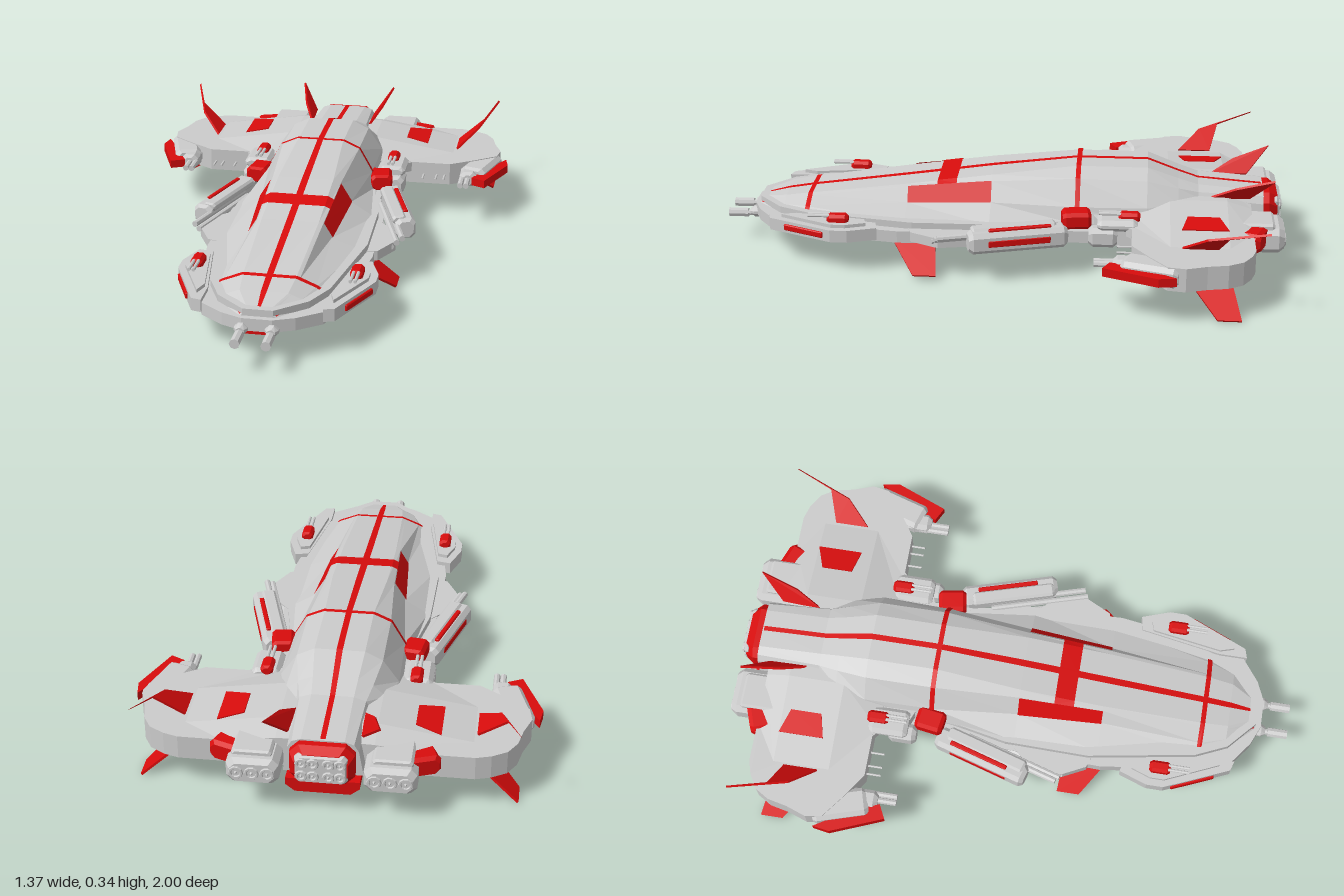
import * as THREE from 'three';
import { ConvexGeometry } from 'three/addons/geometries/ConvexGeometry.js';

const grey = new THREE.MeshStandardMaterial({ color: 0xcccccc, flatShading: true });
const red = new THREE.MeshStandardMaterial({ color: 0xd80c0c, flatShading: true, side: THREE.DoubleSide });

// Upper hull cross-sections, nose to tail: z, then half outline from ridge to base
const HULL = [
  [0.88, [0, .165], [.03, .165], [.04, .16], [.055, .15], [.07, .14]],
  [0.78, [0, .19], [.08, .19], [.09, .186], [.125, .172], [.15, .15]],
  [0.69, [0, .205], [.088, .205], [.1, .2], [.155, .178], [.19, .155]],
  [0.33, [0, .255], [.1, .255], [.115, .25], [.145, .2], [.245, .165]],
  [0.03, [0, .298], [.1, .298], [.125, .282], [.165, .217], [.25, .165]],
  [-.27, [0, .335], [.085, .335], [.145, .308], [.195, .22], [.215, .165]],
  [-.52, [0, .335], [.085, .335], [.145, .305], [.2, .225], [.215, .165]],
  [-.63, [0, .295], [.075, .295], [.125, .275], [.17, .235], [.2, .165]],
  [-.7, [0, .272], [.07, .272], [.11, .258], [.12, .24], [.14, .15]],
  [-.93, [0, .255], [.07, .255], [.1, .245], [.115, .22], [.13, .13]],
];

function fromTriangles(tris) {
  const g = new THREE.BufferGeometry();
  g.setAttribute('position', new THREE.Float32BufferAttribute(tris.flat(2), 3));
  g.computeVertexNormals();
  return g;
}

// Skin mirrored half sections into one closed body
function loft(sections) {
  const rings = sections.map(([z, ...half]) => [
    ...half.map(([x, y]) => [x, y, z]),
    ...half.slice(1).reverse().map(([x, y]) => [-x, y, z]),
  ]);
  const n = rings[0].length, tris = [];
  for (let i = 0; i + 1 < rings.length; i++) {
    for (let j = 0; j < n; j++) {
      const k = (j + 1) % n, a = rings[i], b = rings[i + 1];
      tris.push([a[j], a[k], b[k]], [a[j], b[k], b[j]]);
    }
  }
  const f = rings[0], e = rings.at(-1);
  for (let j = 1; j < n - 1; j++) tris.push([f[0], f[j + 1], f[j]], [e[0], e[j], e[j + 1]]);
  return fromTriangles(tris);
}

// Point just above the upper hull at station z, s steps round the half outline
function hullPoint(z, s) {
  const i = HULL.findIndex((h, k) => HULL[k + 1][0] <= z);
  const a = HULL[i], b = HULL[i + 1], t = (a[0] - z) / (a[0] - b[0]);
  const j = Math.min(3, Math.floor(s)), u = s - j, mix = THREE.MathUtils.lerp;
  const at = (c) => mix(mix(a[j + 1][c], a[j + 2][c], u), mix(b[j + 1][c], b[j + 2][c], u), t);
  return [at(0) * 1.025, 0.15 + (at(1) - 0.15) * 1.025, z];
}

// Painted panel following the upper hull
function hullPatch(z0, z1, s0, s1) {
  const zs = [z0, ...HULL.map((h) => h[0]).filter((z) => z < z0 && z > z1), z1];
  const ss = [s0, ...[1, 2, 3].filter((s) => s > s0 && s < s1), s1], tris = [];
  for (let i = 0; i + 1 < zs.length; i++) {
    for (let j = 0; j + 1 < ss.length; j++) {
      const a = hullPoint(zs[i], ss[j]), b = hullPoint(zs[i], ss[j + 1]);
      const c = hullPoint(zs[i + 1], ss[j + 1]), d = hullPoint(zs[i + 1], ss[j]);
      tris.push([a, b, c], [a, c, d]);
    }
  }
  return fromTriangles(tris);
}

// Horizontal plate from an [x, z] outline
function plate(pts, y0, y1) {
  const shape = new THREE.Shape(pts.map(([x, z]) => new THREE.Vector2(x, -z)));
  return new THREE.ExtrudeGeometry(shape, { depth: y1 - y0, bevelEnabled: false }).rotateX(-Math.PI / 2).translate(0, y0, 0);
}
const bothSides = (half) => [...half, ...half.map(([x, z]) => [-x, z]).reverse()];

// Thin fin through flat corner points
function fin(pts, t = 0.008) {
  const v = pts.map((p) => new THREE.Vector3(...p));
  const n = v[1].clone().sub(v[0]).cross(v[2].clone().sub(v[0])).normalize().multiplyScalar(t / 2);
  return new ConvexGeometry(v.flatMap((p) => [p.clone().add(n), p.clone().sub(n)]));
}

// Block with chamfered corners and ends, long in z
function block(w, h, d, x, y, z, turn = 0, c = 0.015) {
  const pts = [];
  for (const [e, k] of [[d / 2, c], [d / 2 - c, 0], [c - d / 2, 0], [-d / 2, c]]) {
    const a = w / 2 - k * 0.6, b = h / 2 - k * 0.6;
    for (const sx of [-1, 1]) for (const sy of [-1, 1]) {
      pts.push(new THREE.Vector3(sx * (a - c), sy * b, e), new THREE.Vector3(sx * a, sy * (b - c), e));
    }
  }
  return new ConvexGeometry(pts).rotateY(turn).translate(x, y, z);
}
const tube = (r, len, x, y, z, turn = 0) =>
  new THREE.CylinderGeometry(r, r, len, 8).rotateX(Math.PI / 2).rotateY(turn).translate(x, y, z);

// Mirror in x and restore the winding
function mirrored(geo) {
  const g = geo.index ? geo.toNonIndexed() : geo.clone();
  g.scale(-1, 1, 1);
  const p = g.attributes.position, a = new THREE.Vector3(), b = new THREE.Vector3();
  for (let i = 0; i < p.count; i += 3) {
    a.fromBufferAttribute(p, i + 1);
    b.fromBufferAttribute(p, i + 2);
    p.setXYZ(i + 1, b.x, b.y, b.z);
    p.setXYZ(i + 2, a.x, a.y, a.z);
  }
  g.computeVertexNormals();
  return g;
}

export function createModel() {
  const model = new THREE.Group();
  const add = (name, geo, mat = grey) => {
    const m = new THREE.Mesh(geo, mat);
    m.name = name;
    model.add(m);
  };
  const pair = (name, geo, mat) => {
    add(name + 'Left', geo, mat);
    add(name + 'Right', mirrored(geo), mat);
  };

  // Hull tiers, upper body and keel
  add('lowerHull', plate(bothSides([[.05, .9], [.12, .87], [.2, .81], [.24, .7], [.29, .35], [.28, 0], [.24, -.2], [.24, -.4]]), .105, .148));
  add('middleHull', plate(bothSides([[.05, .88], [.15, .79], [.2, .68], [.265, .3], [.26, 0], [.22, -.2], [.2, -.4]]), .148, .172));
  add('upperHull', loft(HULL));
  add('keel', loft([
    [.9, [0, .115], [.06, .115], [.06, .1], [.04, .095]],
    [.72, [0, .115], [.12, .115], [.12, .09], [.09, .066]],
    [-.95, [0, .115], [.12, .115], [.12, .09], [.09, .066]],
  ]), red);

  // Painted panels on the upper body
  pair('ridgeStripe', hullPatch(.87, -.925, 0, .12), red);
  pair('noseStripe', hullPatch(.875, .858, 0, 3), red);
  pair('frontBand', hullPatch(.697, .68, 0, 3.3), red);
  pair('rearBand', hullPatch(-.268, -.285, 0, 3), red);
  pair('canopyBand', hullPatch(.225, .155, 0, 2), red);
  pair('sideWindow', hullPatch(.33, .03, 2, 3), red);

  // Wing slab and sloping fairing
  add('wing', plate(bothSides([[.12, -.3], [.22, -.34], [.27, -.36], [.29, -.47], [.47, -.47], [.56, -.53], [.64, -.59], [.65, -.65],
    [.625, -.72], [.61, -.79], [.58, -.84], [.53, -.87], [.48, -.885], [.34, -.885]]), .115, .198));
  add('wingFairing', loft([
    [-.45, [0, .205], [.16, .205], [.3, .196], [.3, .16]],
    [-.6, [0, .245], [.16, .245], [.47, .198], [.47, .16]],
    [-.8, [0, .245], [.16, .245], [.47, .198], [.47, .16]],
    [-.885, [0, .225], [.16, .22], [.35, .196], [.35, .16]],
  ]));
  const wingY = (x) => .249 - (x - .16) * .1516;
  pair('wingPanel', fin([[.28, -.77], [.365, -.8], [.365, -.64], [.28, -.66]].map(([x, z]) => [x, wingY(x), z]), .004), red);
  pair('wingRootBlock', block(.17, .07, .1, .28, .17, -.885, -.35), red);

  // Fins
  const bend = [.555, .262, -.72], heel = [.575, .278, -.79];
  pair('upperFinBase', fin([[.48, .2, -.64], bend, heel, [.48, .2, -.76]]), red);
  pair('upperFinTip', fin([bend, [.62, .315, -.92], heel]), red);
  pair('innerFin', fin([[.115, .24, -.74], [.155, .29, -.83], [.185, .333, -.96], [.165, .305, -.93], [.12, .245, -.88]]), red);
  pair('lowerRearFin', fin([[.48, .115, -.64], [.62, .002, -.76], [.62, .002, -.84], [.48, .115, -.8]]), red);
  pair('lowerFrontFin', fin([[.245, .115, .38], [.365, .014, .287], [.365, .014, .206], [.245, .115, .22]]), red);
  pair('wingTipFin', fin([[.56, .16, -.4], [.61, .16, -.375], [.685, .16, -.56], [.675, .16, -.62], [.6, .16, -.5]], .03), red);

  // Wing tip guns
  pair('gunArm', block(.1, .07, .2, .585, .16, -.54, -.3));
  pair('gunMount', block(.065, .055, .1, .545, .16, -.46));
  for (const dx of [-.011, .011]) pair('wingGun', tube(.011, .11, .532 + dx, .16, -.4));
  for (const x of [.37, .42, .45]) pair('wingNeedle', tube(.004, .06, x, .15, -.45));

  // Slanted side launchers with red strips, and tubes inboard
  const turn = .29;
  pair('sideLauncher', block(.075, .075, .35, .322, .15, -.075, turn));
  pair('launcherRail', block(.05, .03, .3, .305, .18, -.06, turn, .008));
  pair('launcherTopStrip', block(.016, .012, .22, .33, .19, -.085, turn, .003), red);
  pair('launcherSideStrip', block(.012, .025, .22, .354, .15, -.085, turn, .003), red);
  for (let i = 0; i < 3; i++) pair('launcherTube', tube(.011, .36, .285 + i * .018, .135 + i * .012, .05 - i * .012, turn));
  pair('launcherFairing', plate([[.24, .32], [.3, .3], [.35, .2], [.33, .1], [.24, .0]], .115, .15));

  // Forward armour pods
  pair('frontPod', plate([[.25, .43], [.3, .42], [.335, .52], [.335, .58], [.235, .81], [.2, .82], [.2, .72]], .118, .162));
  pair('frontPodCap', plate([[.25, .47], [.285, .46], [.31, .53], [.31, .58], [.225, .77], [.21, .72]], .162, .174));
  pair('frontPodStripe', block(.012, .022, .16, .293, .14, .68, -.41, .003), red);

  // Turrets and shoulder blocks
  for (const [x, y, z] of [[.27, .182, .56], [.255, .215, -.46]]) {
    pair('turret', block(.042, .036, .075, x, y, z, 0, .01), red);
    for (const dx of [-.008, .008]) pair('turretBarrel', tube(.006, .09, x + dx, y + .012, z + .06));
  }
  pair('turretBase', block(.1, .04, .14, .26, .195, -.42));
  pair('shoulderBlock', block(.08, .06, .1, .232, .195, -.275, .15, .012), red);
  pair('wingRootPod', block(.06, .07, .1, .28, .15, -.37));

  // Nose guns
  pair('noseGunMount', block(.045, .04, .12, .05, .112, .86));
  pair('noseGunBarrel', tube(.011, .12, .05, .105, .91));
  pair('noseGunMuzzle', tube(.017, .07, .05, .105, .965));

  // Engines and nozzles
  add('centreEngine', block(.21, .14, .1, 0, .18, -.932, 0, .03), red);
  add('centreEngineFace', block(.17, .105, .03, 0, .18, -.975, 0, .012));
  pair('sideEngine', block(.17, .09, .16, .22, .155, -.915, 0, .02));
  pair('engineCowl', block(.13, .03, .14, .225, .2, -.89, 0, .008));
  const nozzle = (x, y, z, r) => {
    pair('nozzleRim', new THREE.TorusGeometry(r, .006, 6, 10).translate(x, y, z));
    pair('nozzleCone', new THREE.ConeGeometry(r * .6, .02, 8).rotateX(-Math.PI / 2).translate(x, y, z));
  };
  for (const x of [.17, .22, .27]) nozzle(x, .155, -.994, .019);
  for (const y of [.157, .204]) for (const x of [.025, .062]) nozzle(x, y, -.99, .015);
  return model;
}
